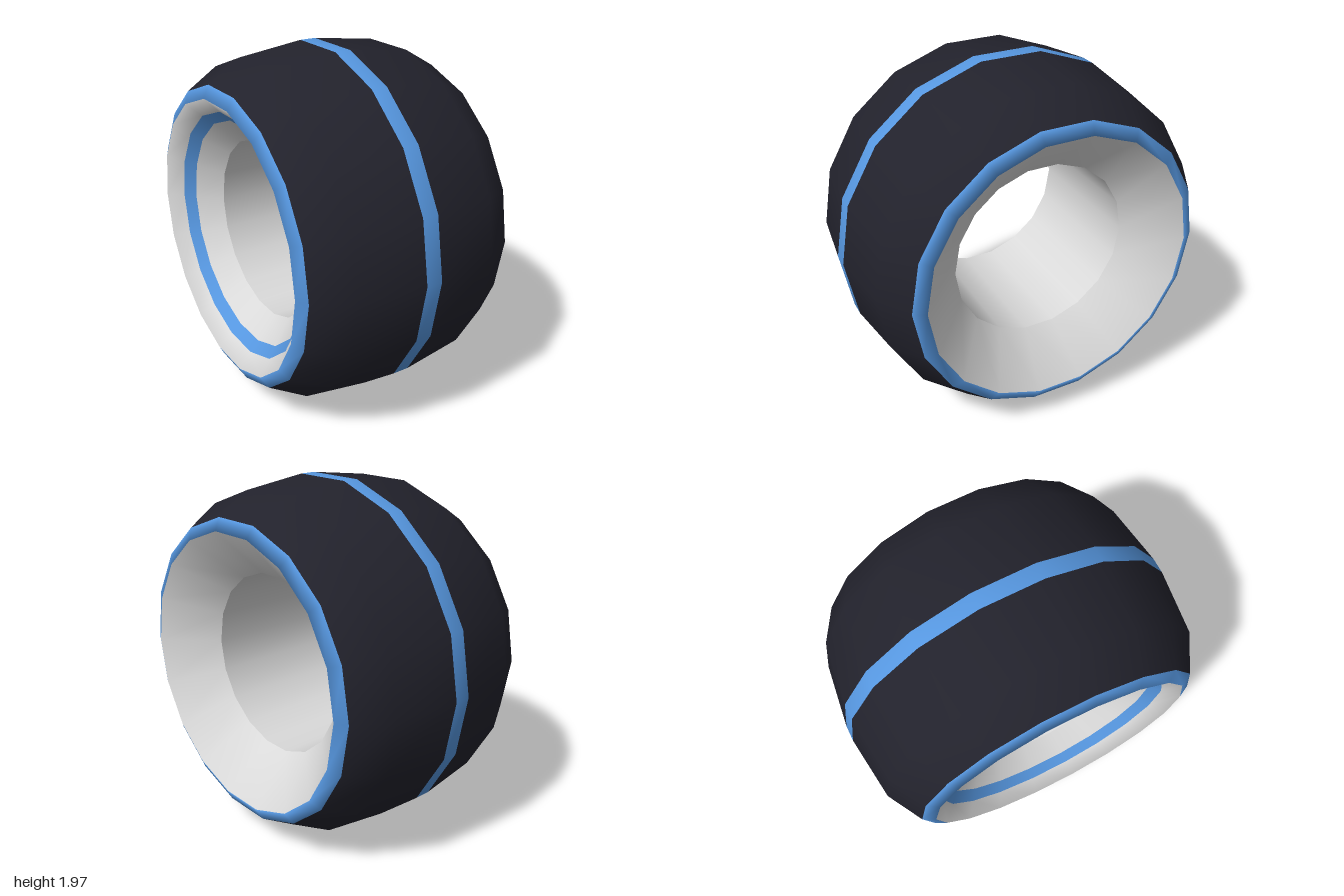
import * as THREE from 'three';

const SIDES = 18;

const rubber = new THREE.MeshStandardMaterial({ color: 0x22222c });
rubber.name = 'dark rubber';
const blue = new THREE.MeshStandardMaterial({ color: 0x5697e0 });
blue.name = 'blue trim';
const metal = new THREE.MeshStandardMaterial({ color: 0xdadada });
metal.name = 'light metal';

// Profile as [x along axle, radius], revolved around the x axis
function revolve(profile) {
  const points = profile.map(([x, r]) => new THREE.Vector2(r, x));
  return new THREE.LatheGeometry(points, SIDES).rotateZ(-Math.PI / 2);
}

// Keeps only the faces between two profile points, with their smooth normals
function band(lathe, count, from, to) {
  const all = lathe.index.array;
  const kept = [];
  for (let i = 0; i < SIDES; i++) {
    for (let j = from; j < to; j++) {
      const start = (i * (count - 1) + j) * 6;
      for (let k = 0; k < 6; k++) kept.push(all[start + k]);
    }
  }
  const part = lathe.clone();
  part.setIndex(kept);
  const trimmed = part.toNonIndexed();
  trimmed.clearGroups();
  return trimmed;
}

export function createModel() {
  const group = new THREE.Group();
  group.name = 'wheel';
  const wheel = new THREE.Group();
  wheel.name = 'tyreAndHub';
  wheel.position.y = Math.cos(Math.PI / SIDES);
  group.add(wheel);

  const add = (name, geometry, material) => {
    const mesh = new THREE.Mesh(geometry, material);
    mesh.name = name;
    wheel.add(mesh);
  };

  // Hub cone, rim, tread and opposite rim as one continuous shell
  const profile = [
    [-0.4, 0.51], [-0.523, 0.635], [-0.577, 0.69], [-0.655, 0.77],
    [-0.62, 0.838], [-0.42, 0.953], [-0.046, 1],
    [0.046, 1], [0.42, 0.953], [0.62, 0.838],
    [0.655, 0.77], [0.4, 0.51],
  ];
  const shell = revolve(profile);
  const bands = [
    ['rightHubInner', 0, 1, metal],
    ['rightHubStripe', 1, 2, blue],
    ['rightHubOuter', 2, 3, metal],
    ['rightRim', 3, 4, blue],
    ['rightTread', 4, 6, rubber],
    ['centreStripe', 6, 7, blue],
    ['leftTread', 7, 9, rubber],
    ['leftRim', 9, 10, blue],
    ['leftHub', 10, 11, metal],
  ];
  for (const [name, from, to, material] of bands) {
    add(name, band(shell, profile.length, from, to), material);
  }

  // Open axle bore, facing inward
  add('axleBore', revolve([[0.4, 0.51], [-0.4, 0.51]]), metal);

  return group;
}
